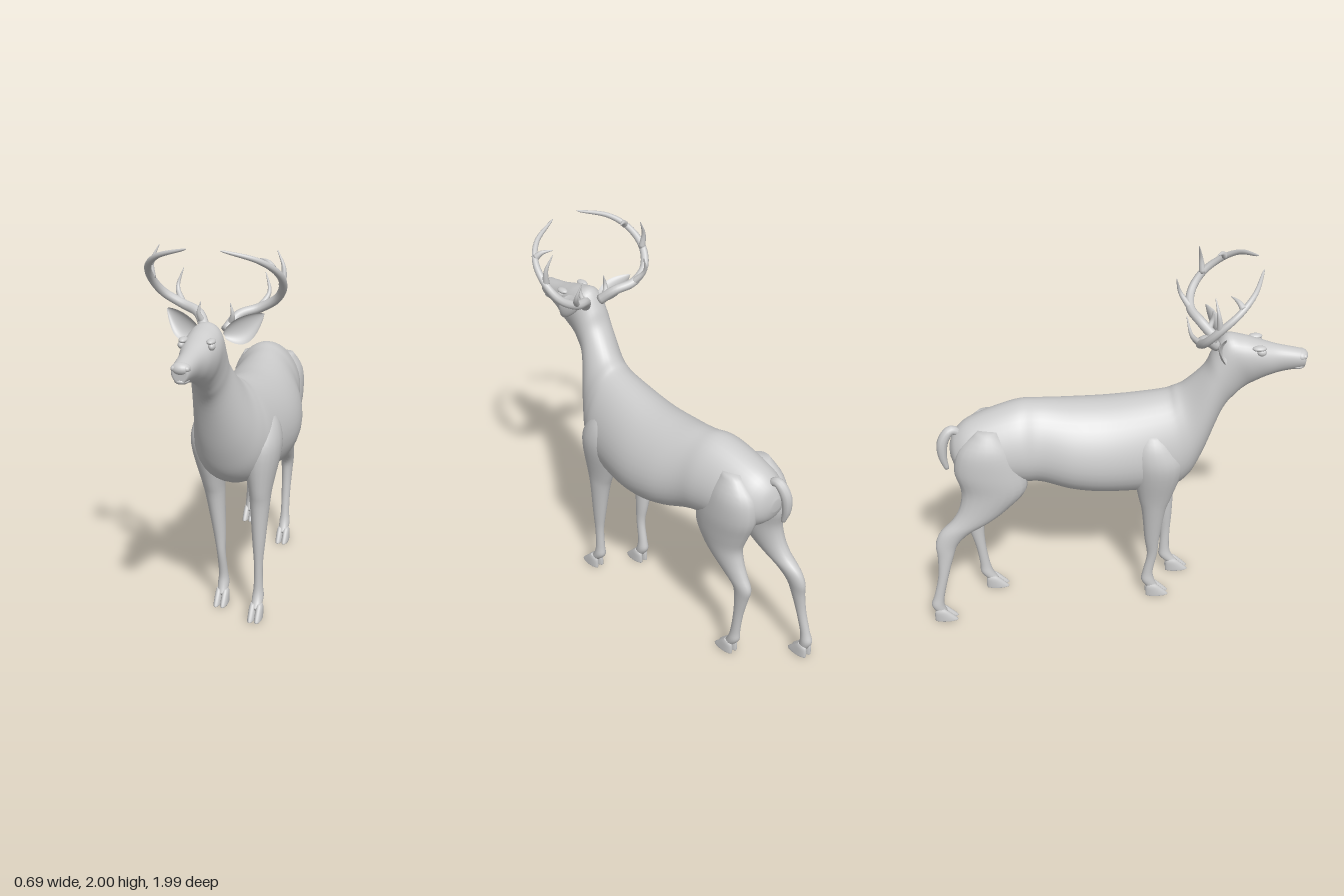
import * as THREE from 'three';

const GREY = new THREE.MeshStandardMaterial({ color: 0xcccccc });
const THIN = new THREE.MeshStandardMaterial({ color: 0xcccccc, side: THREE.DoubleSide });
const { smoothstep, lerp } = THREE.MathUtils;

function add(parent, name, geometry, material = GREY) {
  const mesh = new THREE.Mesh(geometry, material);
  mesh.name = name;
  parent.add(mesh);
  return mesh;
}

function group(parent, name) {
  const g = new THREE.Group();
  g.name = name;
  parent.add(g);
  return g;
}

// Catmull-Rom interpolation of whole rows of numbers
function refine(rows, steps) {
  const out = [], n = rows.length - 1;
  for (let i = 0; i < n; i++) {
    const a = rows[Math.max(i - 1, 0)], b = rows[i], c = rows[i + 1], d = rows[Math.min(i + 2, n)];
    for (let s = 0; s < steps; s++) {
      const t = s / steps;
      out.push(b.map((v, k) => v + 0.5 * t * (c[k] - a[k] +
        t * (2 * a[k] - 5 * v + 4 * c[k] - d[k] + t * (3 * (v - c[k]) + d[k] - a[k])))));
    }
  }
  out.push(rows[n]);
  return out;
}

// Closed skin over rings of points, turned so that its faces look outward
function skin(rings) {
  const m = rings[0].length, pts = rings.flat(), idx = [];
  const last = (rings.length - 1) * m;
  const middle = r => r.reduce((sum, p) => sum.add(p), new THREE.Vector3()).divideScalar(m);
  const start = pts.push(middle(rings[0])) - 1;
  const end = pts.push(middle(rings[rings.length - 1])) - 1;
  for (let j = 0; j < m; j++) {
    const k = (j + 1) % m;
    for (let i = 0; i < last; i += m) idx.push(i + j, i + k, i + j + m, i + k, i + k + m, i + j + m);
    idx.push(start, k, j, end, last + j, last + k);
  }
  let volume = 0;
  const cross = new THREE.Vector3();
  for (let i = 0; i < idx.length; i += 3)
    volume += pts[idx[i]].dot(cross.crossVectors(pts[idx[i + 1]], pts[idx[i + 2]]));
  if (volume < 0) idx.reverse();
  const g = new THREE.BufferGeometry().setFromPoints(pts);
  g.setIndex(idx);
  g.computeVertexNormals();
  return g;
}

const ring = (n, fn) => Array.from({ length: n }, (_, j) => {
  const a = j / n * Math.PI * 2;
  return new THREE.Vector3(...fn(Math.cos(a), Math.sin(a)));
});

// Rows: top z, top y, bottom z, bottom y, centre x, half width.
// The barrel is wider below, the head wider above.
const trunk = rows => skin(refine(rows, 6).map(([tz, ty, bz, by, x, w]) => {
  const egg = 0.15 - 0.3 * smoothstep(by, 0.9, 1.37);
  return ring(36, (c, s) => [x + w * c * (1 - egg * s), lerp(by, ty, (s + 1) / 2), lerp(bz, tz, (s + 1) / 2)]);
}));

// Rows: y, z, half depth, x, half width
const limb = rows => skin(refine(rows, 4).map(([y, z, d, x, w]) =>
  ring(20, (c, s) => [x + w * c, y, z + d * s])));

// Round branch along points; radius is a function of t
function branch(points, radius, steps) {
  const curve = new THREE.CatmullRomCurve3(points.map(p => new THREE.Vector3(...p)));
  const { normals, binormals } = curve.computeFrenetFrames(steps);
  return skin(normals.map((n, i) => {
    const p = curve.getPointAt(i / steps), r = radius(i / steps);
    return ring(10, (c, s) => p.clone().addScaledVector(n, r * c).addScaledVector(binormals[i], r * s));
  }));
}

function ellipsoid(parent, name, pos, size) {
  const mesh = add(parent, name, new THREE.SphereGeometry(1, 20, 14));
  mesh.position.set(...pos);
  mesh.scale.set(...size);
}

// Leg from a profile of y, half depth, half width, and one z per row; ends in a cloven hoof
function leg(parent, name, profile, zs, topX, footX) {
  const g = group(parent, name);
  add(g, 'shank', limb(profile.map(([y, d, w], i) =>
    [y, zs[i], d, lerp(footX, topX, smoothstep(y, 0.1, 0.95)), w])));
  const z = zs[zs.length - 1];
  for (const side of [-1, 1]) {
    const x = footX + side * 0.018;
    add(g, 'hoofToe', limb([[0.075, z - 0.005, 0.02, x, 0.012], [0.055, z, 0.038, x, 0.018],
      [0.008, z + 0.022, 0.062, x, 0.02], [0, z + 0.022, 0.058, x, 0.018]]));
  }
}

// Cupped leaf-shaped ear, open toward the front
function ear(parent, side) {
  const geo = new THREE.PlaneGeometry(1, 2, 20, 14), p = geo.attributes.position;
  const base = new THREE.Vector3(0.06, 1.555, 0.575), tip = new THREE.Vector3(0.24, 1.66, 0.51);
  for (let i = 0; i < p.count; i++) {
    const t = p.getX(i) + 0.5, a = p.getY(i) * 1.35, bow = Math.max(0, Math.sin(Math.PI * t));
    const w = 0.012 * (1 - t) + 0.052 * Math.pow(bow, 0.8);
    const q = base.clone().lerp(tip, t);
    p.setXYZ(i, side * (q.x - 0.45 * w * Math.sin(a)) - 0.005,
      q.y - 0.02 * bow + w * Math.sin(a), q.z + 0.03 * bow - 0.7 * w * Math.cos(a));
  }
  geo.computeVertexNormals();
  add(parent, side > 0 ? 'leftEar' : 'rightEar', geo, THIN);
}

function antler(parent, side) {
  const g = group(parent, side > 0 ? 'leftAntler' : 'rightAntler');
  const grow = (name, pts, radius, steps) =>
    add(g, name, branch(pts.map(([x, y, z]) => [side * x, y, z]), radius, steps));
  grow('beam', [[0.05, 1.57, 0.53], [0.1, 1.635, 0.465], [0.19, 1.665, 0.425], [0.28, 1.72, 0.44],
    [0.322, 1.8, 0.5], [0.31, 1.88, 0.59], [0.24, 1.945, 0.67], [0.08, 1.998, 0.74]],
  t => 0.025 * Math.sqrt(1 - t) + 0.002, 48);
  const tine = (...pts) => grow('tine', pts, t => 0.017 * (1 - t) + 0.002, 12);
  tine([0.07, 1.6, 0.505], [0.083, 1.65, 0.525], [0.073, 1.705, 0.525]);
  tine([0.19, 1.665, 0.425], [0.228, 1.735, 0.375], [0.205, 1.825, 0.352]);
  tine([0.318, 1.8, 0.5], [0.322, 1.88, 0.49], [0.288, 1.96, 0.475]);
  tine([0.295, 1.9, 0.61], [0.27, 1.925, 0.59], [0.225, 1.935, 0.56]);
}

export function createModel() {
  const deer = new THREE.Group();
  deer.name = 'deer';

  // Rump, barrel, chest, neck and head in one skin
  add(deer, 'bodyNeckAndHead', trunk([
    [-0.84, 1.03, -0.835, 0.96, -0.02, 0.03],
    [-0.81, 1.105, -0.8, 0.89, -0.01, 0.1],
    [-0.72, 1.175, -0.7, 0.825, 0, 0.16],
    [-0.5, 1.245, -0.48, 0.795, 0.02, 0.19],
    [-0.37, 1.24, -0.37, 0.775, 0.04, 0.19],
    [-0.2, 1.224, -0.2, 0.72, 0.052, 0.23],
    [0, 1.225, 0, 0.695, 0.055, 0.238],
    [0.26, 1.265, 0.28, 0.71, 0.035, 0.21],
    [0.33, 1.295, 0.4, 0.77, 0.025, 0.18],
    [0.385, 1.335, 0.48, 0.92, 0.01, 0.145],
    [0.475, 1.44, 0.575, 1.19, -0.02, 0.103],
    [0.515, 1.53, 0.64, 1.28, -0.025, 0.094],
    [0.575, 1.62, 0.69, 1.325, -0.025, 0.092],
    [0.66, 1.612, 0.74, 1.355, -0.027, 0.09],
    [0.75, 1.585, 0.8, 1.385, -0.032, 0.078],
    [0.84, 1.558, 0.87, 1.408, -0.037, 0.058],
    [0.968, 1.53, 0.97, 1.428, -0.045, 0.045],
    [0.99, 1.512, 0.985, 1.44, -0.045, 0.03]]));

  // Face
  ellipsoid(deer, 'nosePad', [-0.045, 1.5, 0.962], [0.047, 0.031, 0.038]);
  ellipsoid(deer, 'lowerLip', [-0.045, 1.442, 0.95], [0.036, 0.018, 0.04]);
  for (const s of [-1, 1]) {
    const tag = s > 0 ? 'left' : 'right';
    ellipsoid(deer, tag + 'Nostril', [-0.045 + s * 0.03, 1.503, 0.978], [0.015, 0.014, 0.014]);
    ellipsoid(deer, tag + 'Eye', [-0.031 + s * 0.073, 1.552, 0.752], [0.017, 0.019, 0.024]);
    ellipsoid(deer, tag + 'Brow', [-0.031 + s * 0.067, 1.572, 0.74], [0.022, 0.014, 0.036]);
    ear(deer, s);
    antler(deer, s);
  }

  // Front legs, the left one a step ahead
  const front = [[1.1, 0.05, 0.04], [1.02, 0.11, 0.085], [0.9, 0.135, 0.1], [0.7, 0.09, 0.062],
    [0.6, 0.064, 0.05], [0.4, 0.041, 0.033], [0.28, 0.028, 0.023], [0.16, 0.028, 0.024],
    [0.1, 0.036, 0.03], [0.05, 0.03, 0.026]];
  leg(deer, 'leftFrontLeg', front, [0.23, 0.24, 0.26, 0.29, 0.3, 0.315, 0.32, 0.318, 0.325, 0.365], 0.17, 0.166);
  leg(deer, 'rightFrontLeg', front, [0.21, 0.22, 0.24, 0.23, 0.225, 0.221, 0.224, 0.203, 0.203, 0.23], -0.105, -0.05);

  // Hind legs, the right one stretched back
  const hind = [[1.15, 0.05, 0.04], [1.05, 0.14, 0.09], [0.92, 0.182, 0.1], [0.8, 0.172, 0.088],
    [0.7, 0.135, 0.072], [0.62, 0.108, 0.058], [0.55, 0.083, 0.045], [0.48, 0.06, 0.036],
    [0.4, 0.042, 0.03], [0.28, 0.028, 0.025], [0.16, 0.028, 0.024], [0.1, 0.035, 0.03], [0.05, 0.03, 0.026]];
  leg(deer, 'leftHindLeg', hind,
    [-0.64, -0.65, -0.62, -0.585, -0.585, -0.625, -0.68, -0.735, -0.733, -0.715, -0.698, -0.688, -0.655], 0.1, 0.09);
  leg(deer, 'rightHindLeg', hind,
    [-0.64, -0.65, -0.64, -0.62, -0.67, -0.74, -0.835, -0.885, -0.897, -0.917, -0.945, -0.957, -0.938], -0.1, -0.178);

  // Tail
  add(deer, 'tail', branch([[-0.025, 1.09, -0.77], [-0.03, 1.125, -0.825], [-0.042, 1.07, -0.87],
    [-0.048, 0.98, -0.878], [-0.048, 0.9, -0.86]], t => 0.012 + 0.017 * Math.sin(Math.PI * (0.1 + 0.9 * t)), 24));

  return deer;
}
